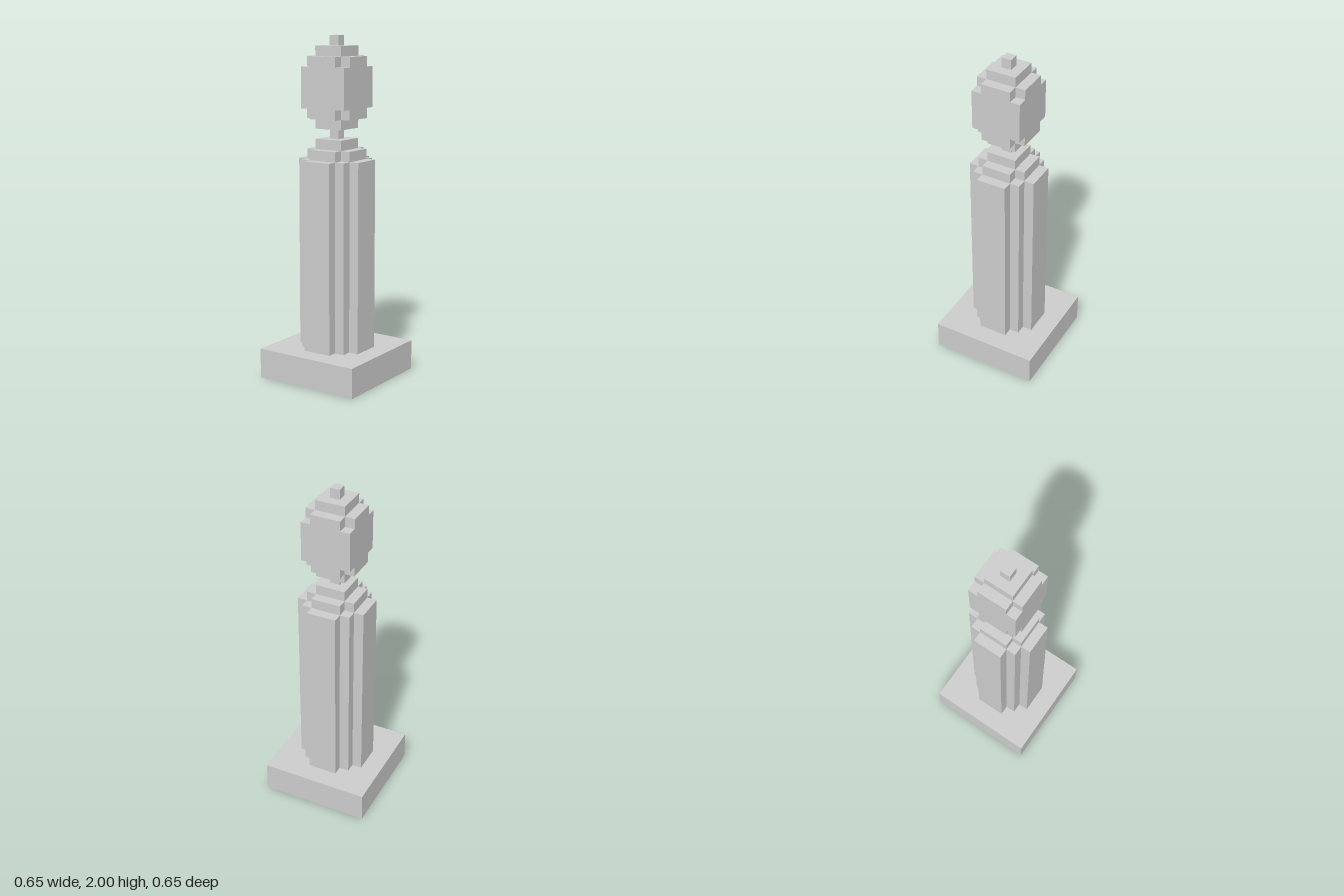
import * as THREE from 'three';

const U = 2 / 34; // one block of the model's grid
const material = new THREE.MeshStandardMaterial({ color: 0xcccccc, flatShading: true });

// Upright prism whose stepped outline repeats in each quarter.
// steps: outer corners of one quarter, in blocks, from +x round to +z.
function steppedPrism(name, bottom, top, steps) {
  const quarter = [];
  steps.forEach(([x, y], i) => {
    if (i > 0) quarter.push([x, steps[i - 1][1]]); // inner corner
    quarter.push([x, y]);
  });
  const points = [];
  for (let q = 0; q < 4; q++) {
    for (const [x, y] of quarter) {
      const [px, py] = [[x, y], [-y, x], [-x, -y], [y, -x]][q];
      points.push(new THREE.Vector2(px * U, py * U));
    }
  }
  const geometry = new THREE.ExtrudeGeometry(new THREE.Shape(points), {
    depth: (top - bottom) * U,
    bevelEnabled: false,
  });
  geometry.rotateX(-Math.PI / 2);
  const mesh = new THREE.Mesh(geometry, material);
  mesh.name = name;
  mesh.position.y = bottom * U;
  return mesh;
}

const square = (half) => [[half, half]];
const cross = [[2.5, 1.5], [1.5, 2.5]];
const roundish = [[3.5, 1.5], [2.5, 2.5], [1.5, 3.5]];

export function createModel() {
  const model = new THREE.Group();
  model.name = 'monument';

  // Plinth and fluted column
  model.add(steppedPrism('plinth', 0, 3, square(5.5)));
  model.add(steppedPrism('columnShaft', 3, 22, roundish));

  // Stepped cap and neck
  model.add(steppedPrism('columnCapLower', 22, 23, cross));
  model.add(steppedPrism('columnCapUpper', 23, 24, square(1.5)));
  model.add(steppedPrism('neck', 24, 25, square(0.5)));

  // Head with notched corners
  const head = new THREE.Group();
  head.name = 'head';
  head.add(steppedPrism('headUnderside', 25, 26, square(1.5)));
  head.add(steppedPrism('headLowerStep', 26, 27, cross));
  head.add(steppedPrism('headBody', 27, 31, square(2.5)));
  head.add(steppedPrism('headUpperStep', 31, 32, cross));
  head.add(steppedPrism('headCrown', 32, 33, square(1.5)));
  head.add(steppedPrism('finial', 33, 34, square(0.5)));
  model.add(head);

  return model;
}
